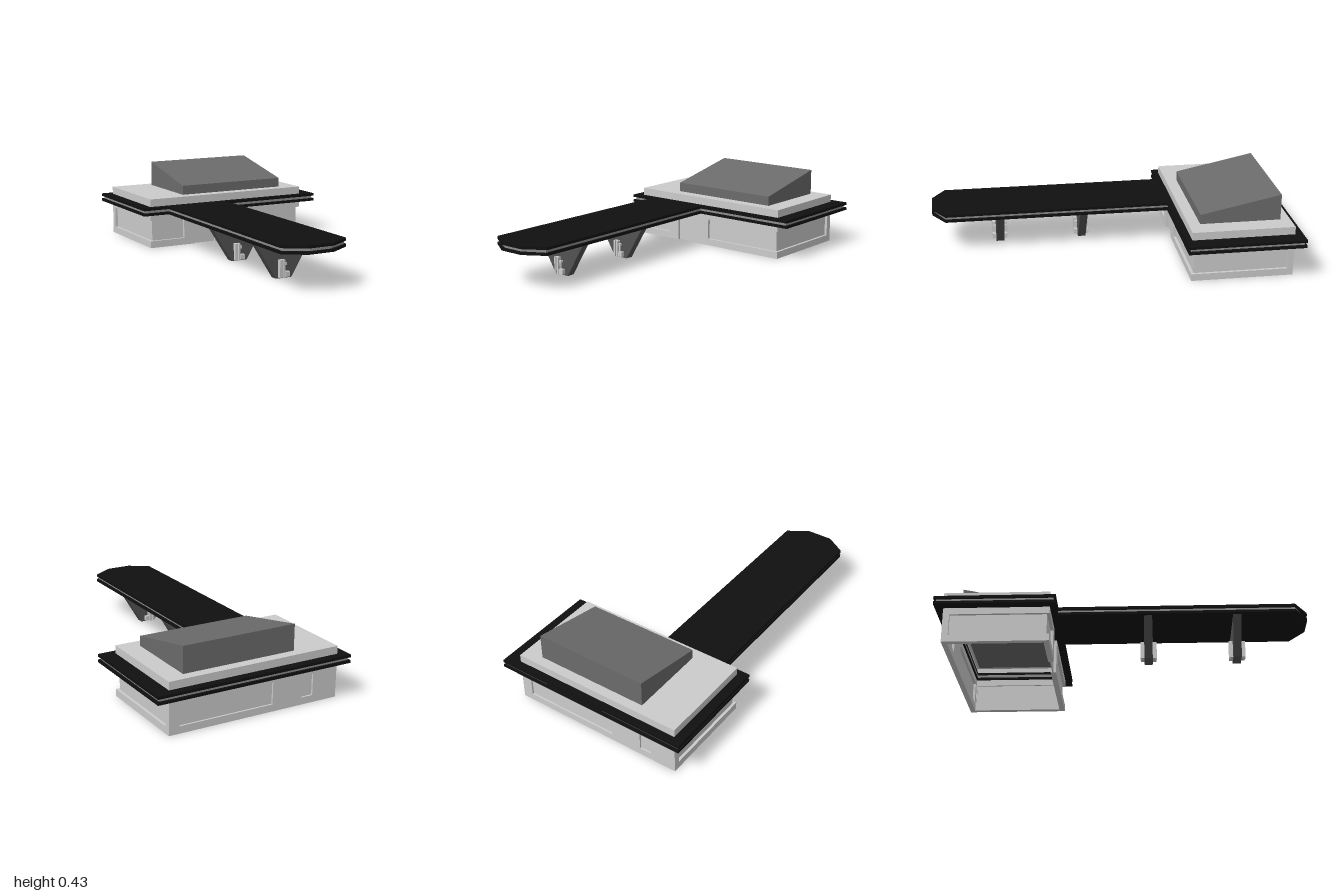
import * as THREE from 'three';

const mat = (color) => new THREE.MeshStandardMaterial({ color });
const wallMat = mat(0xcccccc);
const blackMat = mat(0x101010);
const trimMat = mat(0x8c8c8c);
const darkMat = mat(0x6b6b6b);
const pylonMat = mat(0x525252);

function add(parent, name, geometry, material) {
  const mesh = new THREE.Mesh(geometry, material);
  mesh.name = name;
  parent.add(mesh);
  return mesh;
}

// Box given by its limits on each axis
function box(parent, name, [x0, x1], [y0, y1], [z0, z1], material = wallMat) {
  const mesh = add(parent, name, new THREE.BoxGeometry(x1 - x0, y1 - y0, z1 - z0), material);
  mesh.position.set((x0 + x1) / 2, (y0 + y1) / 2, (z0 + z1) / 2);
  return mesh;
}

const toPoints = (list) => list.map(([x, y]) => new THREE.Vector2(x, y));

// Building footprint and wall thickness
const X0 = -0.52, X1 = 0.49, Z0 = -0.955, Z1 = -0.385, T = 0.03;
const SILL = 0.04, HEAD = 0.16;

function createBuilding() {
  const g = new THREE.Group();
  g.name = 'building';
  const front = [Z1 - T, Z1], back = [Z0, Z0 + T];

  // Sills, broken by the front doorway
  box(g, 'frontSill', [X0, -0.24], [0, SILL], front);
  box(g, 'frontSill', [-0.1, X1], [0, SILL], front);
  box(g, 'backSill', [X0, X1], [0, SILL], back);
  // Headers run up through the canopy to carry the roof
  box(g, 'frontHeader', [X0, -0.24], [HEAD, 0.28], front);
  box(g, 'frontHeader', [-0.1, X1], [HEAD, 0.28], front);
  box(g, 'doorHeader', [-0.24, -0.1], [0.2, 0.28], front);
  box(g, 'backHeader', [X0, X1], [HEAD, 0.28], back);

  // Solid wall between the openings
  for (const [a, b] of [[-0.305, -0.24], [-0.1, -0.01]]) box(g, 'frontPost', [a, b], [SILL, HEAD], front);
  for (const [a, b] of [[X0, -0.37], [-0.3, -0.12], [0.43, X1]]) box(g, 'backPost', [a, b], [SILL, HEAD], back);

  // Recessed panes that meet at the front corners, and the doors
  const inset = 0.015, thin = 0.006;
  const pane = [Z1 - inset - thin, Z1 - inset];
  box(g, 'frontWindow', [X0 + inset, -0.3], [SILL, HEAD], pane);
  box(g, 'frontWindow', [-0.015, X1 - inset], [SILL, HEAD], pane);
  box(g, 'frontDoor', [-0.24, -0.1], [0, 0.2], pane);
  const backPane = [Z0 + 0.01, Z0 + 0.016];
  box(g, 'backWindow', [-0.12, 0.43], [SILL, HEAD], backPane);
  box(g, 'backDoor', [-0.37, -0.3], [SILL, HEAD], backPane);

  for (const side of [-1, 1]) {
    const outer = side < 0 ? X0 : X1;
    const span = (from, to) => [outer - side * from, outer - side * to].sort((a, b) => a - b);
    box(g, 'sideSill', span(0, T), [0, SILL], [Z0, Z1]);
    box(g, 'sideHeader', span(0, T), [HEAD, 0.28], [Z0, Z1]);
    box(g, 'sidePost', span(0, T), [SILL, HEAD], [Z0, -0.92]);
    box(g, 'sideWindow', span(inset, inset + thin), [SILL, HEAD], [-0.925, Z1 - inset]);
  }

  // Roof cap
  box(g, 'roof', [X0, X1], [0.272, 0.287], [Z0, Z1]);
  return g;
}

// T-shaped canopy layer, shrunk by d, with an opening over the building
function canopyLayer(parent, name, y, height, d, material) {
  const shape = new THREE.Shape(toPoints([
    [-0.575 + d, 1 - d], [-0.575 + d, 0.35 + d], [-0.42 + d, 0.35 + d], [-0.42 + d, -0.925],
    [-0.305 + d, -1 + d], [-0.16 - d, -1 + d], [-0.04 - d, -0.925], [-0.04 - d, 0.35 + d],
    [0.575 - d, 0.35 + d], [0.575 - d, 1 - d],
  ]));
  const e = T + 0.006;
  shape.holes.push(new THREE.Path(toPoints([
    [X0 + e, -Z1 + e], [X1 - e, -Z1 + e], [X1 - e, -Z0 - e], [X0 + e, -Z0 - e],
  ])));
  const geo = new THREE.ExtrudeGeometry(shape, { depth: height, bevelEnabled: false });
  geo.rotateX(-Math.PI / 2);
  add(parent, name, geo, material).position.y = y;
}

// Fuel dispenser on one face of a pylon, looking along +z
function createDispenser() {
  const g = new THREE.Group();
  g.name = 'dispenser';
  box(g, 'column', [-0.262, -0.238], [0.005, 0.1], [0, 0.014]);
  for (const x of [-0.26, -0.24]) box(g, 'columnRail', [x - 0.005, x + 0.005], [0.005, 0.1], [0, 0.022]);
  box(g, 'hoseArm', [-0.236, -0.22], [0.07, 0.083], [0, 0.015]);
  box(g, 'hose', [-0.236, -0.228], [0.015, 0.075], [0, 0.01]);
  box(g, 'meterBox', [-0.232, -0.205], [0.008, 0.036], [0, 0.02]);
  return g;
}

// Tapered pylon with a dispenser on both faces
function createPylon(z) {
  const g = new THREE.Group();
  g.name = 'pylon';
  const half = 0.0225;
  const shape = new THREE.Shape(toPoints([[-0.277, 0], [-0.185, 0], [-0.063, 0.2], [-0.402, 0.2]]));
  const geo = new THREE.ExtrudeGeometry(shape, { depth: 2 * half, bevelEnabled: false });
  geo.translate(0, 0, -half);
  add(g, 'pylonBody', geo, pylonMat);
  for (const side of [-1, 1]) {
    const dispenser = createDispenser();
    dispenser.scale.z = side;
    dispenser.position.z = side * half;
    g.add(dispenser);
  }
  g.position.z = z;
  return g;
}

export function createModel() {
  const model = new THREE.Group();
  model.name = 'fillingStation';
  model.add(createBuilding());

  // Canopy: two black plates with a grey band between
  const canopy = new THREE.Group();
  canopy.name = 'canopy';
  canopyLayer(canopy, 'lowerPlate', 0.197, 0.015, 0, blackMat);
  canopyLayer(canopy, 'middleBand', 0.212, 0.016, 0.012, trimMat);
  canopyLayer(canopy, 'upperPlate', 0.228, 0.015, 0, blackMat);
  model.add(canopy);

  // Wedge-topped roof housing
  const wedge = new THREE.Shape(toPoints([[0.45, 0.245], [0.9, 0.245], [0.9, 0.434], [0.45, 0.341]]));
  const housing = new THREE.ExtrudeGeometry(wedge, { depth: 0.66, bevelEnabled: false });
  housing.rotateY(Math.PI / 2);
  add(model, 'roofHousing', housing, darkMat).position.x = -0.28;

  for (const z of [0.615, 0.134]) model.add(createPylon(z));
  return model;
}
